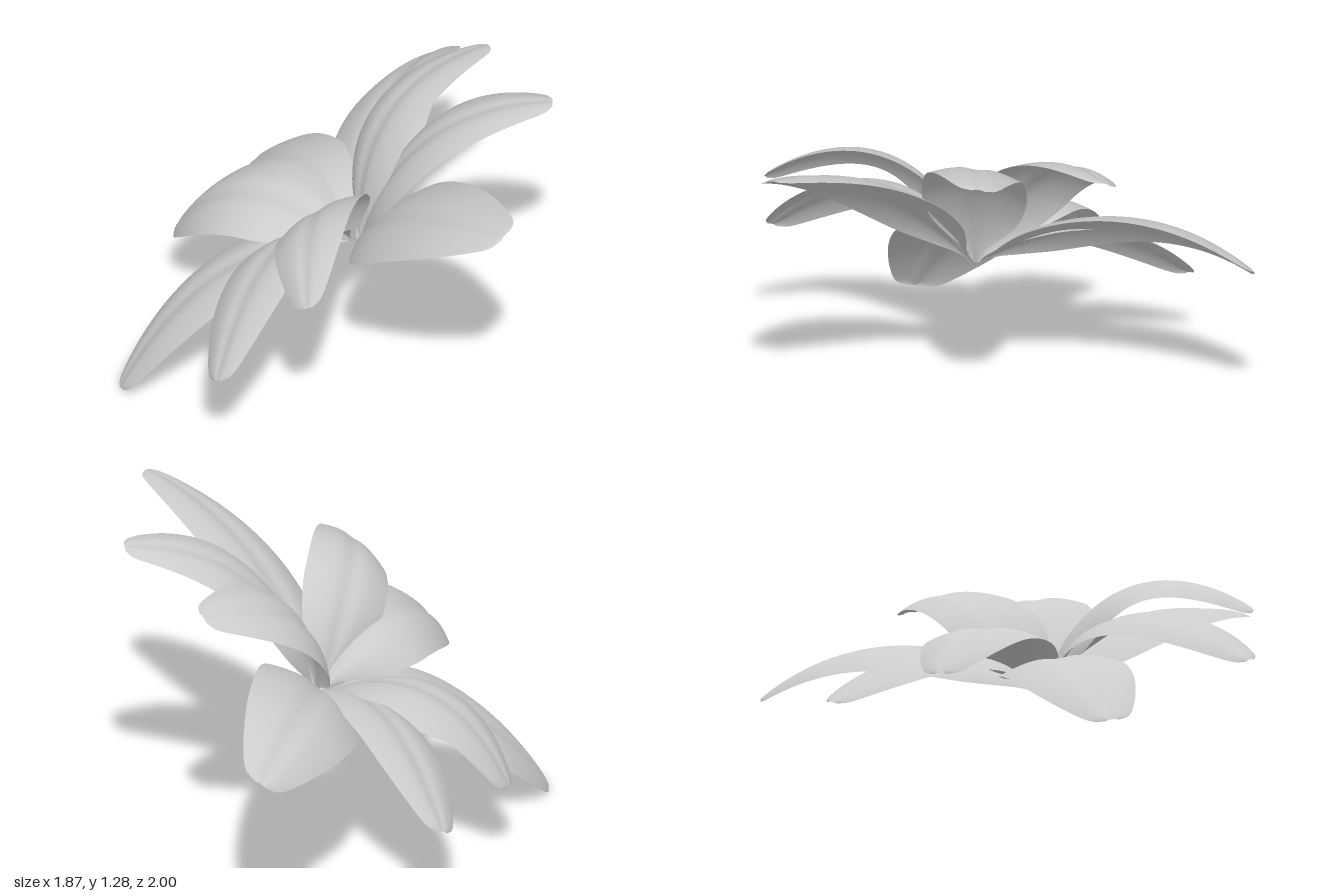
import * as THREE from 'three';
import { ParametricGeometry } from 'three/addons/geometries/ParametricGeometry.js';

const V = (x, y, z) => new THREE.Vector3(x, y, z);

// the whole rosette leans: leaf blades lie roughly square to this axis
const AXIS = V(-0.5, 1, -0.45).normalize();
const CROWN = V(0.035, 0.58, -0.035);

// leaf outline: position along the leaf, share of the half width
const OUTLINE = [
  [0, 0.03], [0.05, 0.1], [0.12, 0.42], [0.22, 0.79], [0.35, 0.98], [0.46, 1], [0.6, 0.95],
  [0.72, 0.85], [0.83, 0.69], [0.91, 0.53], [0.96, 0.4], [0.985, 0.29], [1, 0.12],
];

// middle and tip of each leaf's midrib, half width
const LEAVES = [
  { mid: [0.02, 1.0, 0.42], tip: [0.14, 1.23, 0.99], half: 0.245 },
  { mid: [0.30, 1.1, 0.12], tip: [0.73, 1.28, 0.36], half: 0.215 },
  { mid: [0.28, 1.03, -0.19], tip: [0.76, 1.18, -0.22], half: 0.215 },
  { mid: [0.44, 0.8, -0.51], tip: [0.92, 0.70, -0.83], half: 0.255 },
  { mid: [0.03, 0.62, -0.50], tip: [0.12, 0.33, -1.0], half: 0.225 },
  { mid: [-0.22, 0.65, -0.45], tip: [-0.37, 0.32, -0.79], half: 0.235 },
  { mid: [-0.46, 0.47, -0.25], tip: [-0.92, 0.015, -0.31], half: 0.25 },
  { mid: [-0.42, 0.76, 0.08], tip: [-0.87, 0.48, 0.39], half: 0.225 },
  { mid: [-0.29, 0.96, 0.18], tip: [-0.57, 0.87, 0.6], half: 0.195 },
];

// smooth interpolation of the outline
function widthAt(t) {
  let i = 0;
  while (i < OUTLINE.length - 2 && t > OUTLINE[i + 1][0]) i++;
  const slope = (k) => {
    const a = OUTLINE[Math.max(k - 1, 0)], b = OUTLINE[Math.min(k + 1, OUTLINE.length - 1)];
    return (b[1] - a[1]) / (b[0] - a[0]);
  };
  const [x0, y0] = OUTLINE[i], [x1, y1] = OUTLINE[i + 1];
  const h = x1 - x0, s = (t - x0) / h;
  return (1 + 2 * s) * (1 - s) ** 2 * y0 + s * (1 - s) ** 2 * h * slope(i)
    + s * s * (3 - 2 * s) * y1 + s * s * (s - 1) * h * slope(i + 1);
}

// blade swept along an arching midrib, edges drooping, shallow groove in the middle
function leafGeometry({ mid, tip, half }) {
  const m = V(...mid), end = V(...tip);
  const base = CROWN.clone().addScaledVector(V(end.x, 0, end.z).normalize(), 0.015);
  const control = m.multiplyScalar(2).addScaledVector(base, -0.5).addScaledVector(end, -0.5);
  const rib = new THREE.QuadraticBezierCurve3(base, control, end);
  return new ParametricGeometry((u, v, target) => {
    const t = 1 - (1 - v) ** 1.4; // closer rows toward the tip
    const across = u * 2 - 1;
    const tangent = rib.getTangentAt(t);
    const side = AXIS.clone().cross(tangent).normalize();
    const up = tangent.clone().cross(side).normalize();
    const w = half * widthAt(t);
    const lift = 0.09 - 0.22 * across * across - 0.05 * Math.exp(-((across / 0.22) ** 2));
    target.copy(rib.getPointAt(t)).addScaledVector(side, w * across).addScaledVector(up, w * lift);
  }, 20, 40);
}

export function createModel() {
  const plant = new THREE.Group();
  plant.name = 'leafRosette';
  const material = new THREE.MeshStandardMaterial({ color: 0xcccccc, side: THREE.DoubleSide });
  LEAVES.forEach((leaf, i) => {
    const mesh = new THREE.Mesh(leafGeometry(leaf), material);
    mesh.name = `leaf${i + 1}`;
    plant.add(mesh);
  });
  return plant;
}
